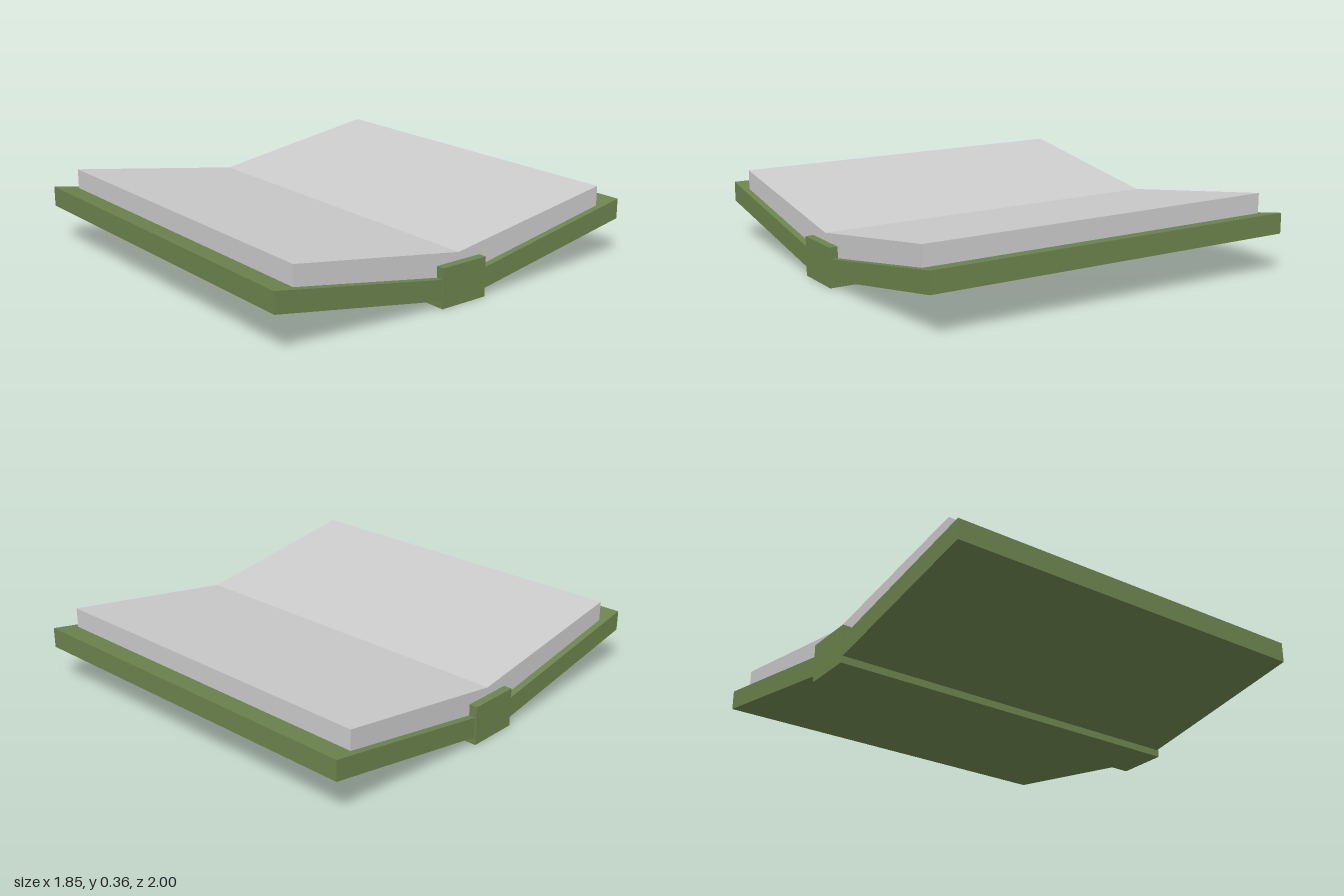
import * as THREE from 'three';

// Prism of a (z, y) outline, centred along x
function prism(name, points, width, material) {
  const shape = new THREE.Shape(points.map(([z, y]) => new THREE.Vector2(z, y)));
  const geometry = new THREE.ExtrudeGeometry(shape, { depth: width, bevelEnabled: false });
  geometry.translate(0, 0, -width / 2);
  geometry.rotateY(-Math.PI / 2);
  const mesh = new THREE.Mesh(geometry, material);
  mesh.name = name;
  return mesh;
}

export function createModel() {
  const book = new THREE.Group();
  book.name = 'openBook';
  const green = new THREE.MeshStandardMaterial({ color: 0x6c844d, flatShading: true });
  const paper = new THREE.MeshStandardMaterial({ color: 0xcccccc, flatShading: true });

  // Spine block under the fold
  const spine = new THREE.Mesh(new THREE.BoxGeometry(1.85, 0.185, 0.25), green);
  spine.name = 'spine';
  spine.position.y = 0.0925;
  book.add(spine);

  // Covers and page blocks rise on both sides of the spine
  for (const [side, s] of [['front', 1], ['back', -1]]) {
    book.add(prism(side + 'Cover', [
      [0, 0.013], [s, 0.188], [s, 0.285], [0, 0.11],
    ], 1.835, green));
    book.add(prism(side + 'Pages', [
      [0, 0.1], [0.885 * s, 0.255], [0.885 * s, 0.36], [0, 0.222],
    ], 1.77, paper));
  }
  return book;
}
